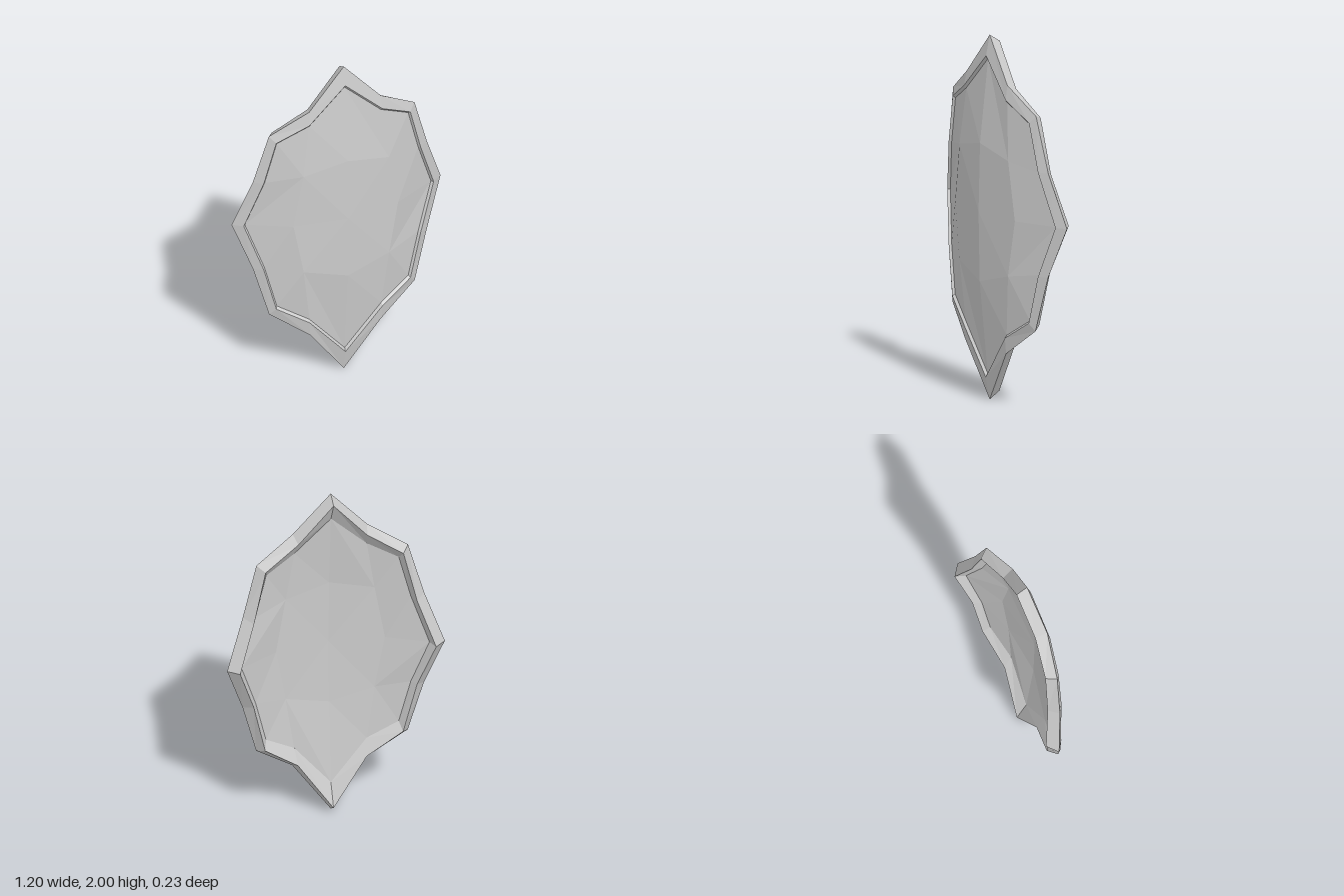
import * as THREE from 'three';

const MID = 1.04;

// Mirror a half outline (top tip -> +x side -> bottom tip) into a closed ring.
function mirrorRing(half) {
  const other = half.slice(1, -1).reverse().map(([x, y, z]) => [-x, y, z]);
  return [...half, ...other];
}

// Shrink a ring towards the middle and push it along z.
const inset = (ring, s, dz) => ring.map(([x, y, z]) => [x * s, MID + (y - MID) * s, z + dz]);

// Triangles between two rings of equal length; repeated points collapse.
function band(a, b) {
  const out = [];
  const tri = (p, q, r) => {
    if (p !== q && q !== r && r !== p) out.push(...p, ...q, ...r);
  };
  a.forEach((_, i) => {
    const j = (i + 1) % a.length;
    tri(a[i], b[i], b[j]);
    tri(a[i], b[j], a[j]);
  });
  return out;
}

function makeMesh(name, bands) {
  const geo = new THREE.BufferGeometry();
  geo.setAttribute('position', new THREE.Float32BufferAttribute(bands.flat(), 3));
  geo.computeVertexNormals();
  const mat = new THREE.MeshStandardMaterial({ color: 0xcccccc, flatShading: true });
  const mesh = new THREE.Mesh(geo, mat);
  mesh.name = name;
  return mesh;
}

export function createModel() {
  const group = new THREE.Group();
  group.name = 'shield';

  // Rim rings: front outer edge, front inner edge, back outer edge
  const frontOuter = mirrorRing([
    [0, 2, 0.045], [0.205, 1.765, 0.062], [0.418, 1.63, 0.014], [0.5, 1.33, -0.012], [0.6, 1.04, -0.067],
    [0.5, 0.76, -0.01], [0.418, 0.455, 0.018], [0.205, 0.297, 0.07], [0, 0.005, 0.045],
  ]);
  const frontInner = mirrorRing([
    [0, 1.888, 0.068], [0.21, 1.685, 0.076], [0.385, 1.59, 0.038], [0.45, 1.33, 0.022], [0.545, 1.04, -0.028],
    [0.45, 0.76, 0.022], [0.385, 0.495, 0.04], [0.21, 0.385, 0.08], [0, 0.13, 0.07],
  ]);
  const backOuter = mirrorRing([
    [0, 1.96, -0.018], [0.19, 1.735, -0.003], [0.38, 1.61, -0.038], [0.45, 1.31, -0.06], [0.54, 1.04, -0.115],
    [0.45, 0.78, -0.055], [0.38, 0.477, -0.03], [0.19, 0.33, 0.006], [0, 0.045, -0.016],
  ]);
  const panelEdge = inset(frontInner, 0.98, -0.013);
  const backEdge = inset(frontInner, 0.95, -0.03);

  // Rim: sloping front, inner step, outer wall and back slope
  group.add(makeMesh('rim', [
    band(frontOuter, frontInner),
    band(frontInner, panelEdge),
    band(backOuter, frontOuter),
    band(backEdge, backOuter),
  ]));

  // Faceted dome: eight points around a centre
  const dome = mirrorRing([
    [0, 1.415, 0.106], [0.245, 1.36, 0.082], [0.3, 1.04, 0.074], [0.245, 0.73, 0.083], [0, 0.66, 0.108],
  ]);
  const spread = [0, 1, 1, 1, 2, 3, 3, 3, 4, 5, 5, 5, 6, 7, 7, 7];
  const frontDome = spread.map((i) => dome[i]);
  const frontCentre = [0, MID, 0.115];
  group.add(makeMesh('frontPanel', [
    band(panelEdge, frontDome),
    band(frontDome, frontDome.map(() => frontCentre)),
  ]));

  // Hollow back of the panel
  const backPoints = inset(dome, 1, -0.025);
  const backDome = spread.map((i) => backPoints[i]);
  const backCentre = [0, MID, 0.09];
  group.add(makeMesh('backPanel', [
    band(backDome, backEdge),
    band(backDome.map(() => backCentre), backDome),
  ]));

  return group;
}
